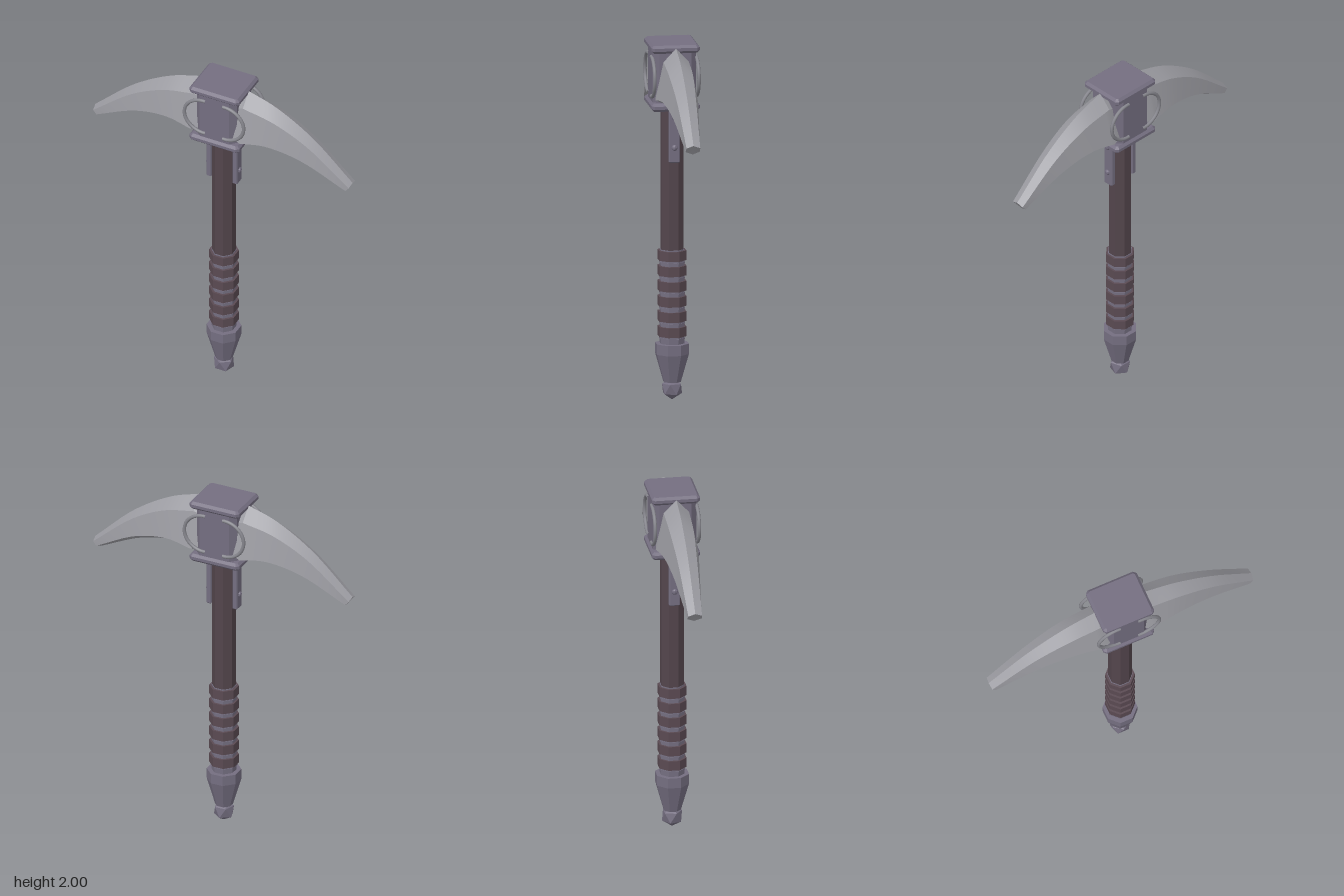
import * as THREE from 'three';
import { toCreasedNormals } from 'three/addons/utils/BufferGeometryUtils.js';

const mat = (name, color, extra = {}) => {
  const m = new THREE.MeshStandardMaterial({ color, ...extra });
  m.name = name;
  return m;
};

export function createModel() {
  const group = new THREE.Group();
  const iron = mat('violet iron', 0x746e80, { flatShading: true });
  const steel = mat('blade steel', 0x9c9ca2);
  const wood = mat('dark wood', 0x53454c, { flatShading: true });
  const leather = mat('grip leather', 0x5a4a52, { flatShading: true });
  const wire = mat('ring wire', 0x85858c);

  const add = (name, geo, material, x = 0, y = 0, z = 0) => {
    const mesh = new THREE.Mesh(geo, material);
    mesh.name = name;
    mesh.position.set(x, y, z);
    group.add(mesh);
    return mesh;
  };

  // Octagonal tapered bar with flats facing the axes, sized by half width
  const octagon = (name, material, top, bottom, y0, y1) => {
    const k = Math.cos(Math.PI / 8);
    const geo = new THREE.CylinderGeometry(top / k, bottom / k, y1 - y0, 8).rotateY(Math.PI / 8);
    return add(name, geo, material, 0, (y0 + y1) / 2);
  };

  // Upright block with cut corners and bevelled rims
  const block = (name, hx, hz, y0, y1, cut, bevel, material = iron, x = 0) => {
    const a = hx - bevel, b = hz - bevel, c = cut;
    const shape = new THREE.Shape([
      [a, -b + c], [a, b - c], [a - c, b], [-a + c, b],
      [-a, b - c], [-a, -b + c], [-a + c, -b], [a - c, -b],
    ].map(([px, py]) => new THREE.Vector2(px, py)));
    const geo = new THREE.ExtrudeGeometry(shape, {
      depth: y1 - y0 - 2 * bevel, bevelEnabled: true,
      bevelThickness: bevel, bevelSize: bevel, bevelSegments: 1,
    }).rotateX(-Math.PI / 2);
    return add(name, geo, material, x, y0 + bevel, 0);
  };

  // Handle and wrapped grip
  octagon('handle', wood, 0.061, 0.061, 0.3, 1.65);
  octagon('gripSleeve', iron, 0.064, 0.064, 0.31, 0.84);
  for (let i = 0; i < 6; i++) {
    const y = 0.383 + i * 0.0848;
    octagon('gripBand', leather, 0.075, 0.075, y - 0.027, y + 0.027);
    octagon('gripRidge', iron, 0.067, 0.067, y - 0.043, y - 0.036);
  }

  // Pommel with a faceted end knob
  octagon('pommelCollar', iron, 0.088, 0.088, 0.257, 0.315);
  octagon('pommelTaper', iron, 0.088, 0.046, 0.1, 0.257);
  const knob = new THREE.IcosahedronGeometry(0.062, 0);
  knob.rotateX(-Math.atan((1 + Math.sqrt(5)) / 2));
  add('pommelKnob', knob, iron, 0, 0.062, 0);

  // Head block between two plates
  block('headBlock', 0.122, 0.12, 1.66, 1.97, 0.025, 0.012);
  block('topPlate', 0.152, 0.133, 1.955, 2.0, 0.008, 0.014);
  block('bottomPlate', 0.152, 0.133, 1.632, 1.677, 0.008, 0.014);

  // Side straps with rivets
  for (const s of [-1, 1]) {
    block('sideStrap', 0.016, 0.031, 1.335, 1.64, 0.003, 0.006, iron, s * 0.079);
    for (const y of [1.42, 1.59]) {
      const rivet = new THREE.SphereGeometry(0.017, 8, 6).scale(0.8, 1, 1);
      add('rivet', rivet, iron, s * 0.094, y, 0);
    }
  }

  // Half-ring loops on the front and back of the head
  for (const sz of [-1, 1]) {
    for (const sx of [-1, 1]) {
      const pts = [];
      for (let i = 0; i <= 20; i++) {
        const a = -1.65 + (3.3 * i) / 20;
        pts.push(new THREE.Vector3(
          sx * (0.062 + 0.119 * Math.cos(a)), 1.815 + 0.11 * Math.sin(a), sz * 0.122));
      }
      const path = new THREE.CatmullRomCurve3(pts);
      add('headLoop', new THREE.TubeGeometry(path, 32, 0.01, 8), wire);
    }
  }

  // Curved blades: a six-sided section swept between four edge curves
  const edge = (...p) => new THREE.CatmullRomCurve3(p.map(([x, y, z]) => new THREE.Vector3(x, y, z)));
  const ridge = edge([0.15, 1.985, 0], [0.32, 1.928, 0], [0.54, 1.795, 0], [0.785, 1.57, 0]);
  const upper = edge([0.15, 1.91, 0.07], [0.33, 1.87, 0.066], [0.53, 1.765, 0.053], [0.78, 1.556, 0.038]);
  const lower = edge([0.15, 1.7, 0.115], [0.3, 1.718, 0.098], [0.5, 1.672, 0.072], [0.76, 1.533, 0.04]);
  const belly = edge([0.15, 1.652, 0], [0.29, 1.664, 0], [0.5, 1.628, 0], [0.75, 1.516, 0]);
  const flip = (p) => new THREE.Vector3(p.x, p.y, -p.z);
  const rings = [];
  const steps = 18;
  for (let i = 0; i <= steps; i++) {
    const [r, u, l, b] = [ridge, upper, lower, belly].map((c) => c.getPoint(i / steps));
    rings.push([r, u, l, b, flip(l), flip(u)]);
  }
  // Root shoulder sinking into the head block
  rings.unshift(rings[0].map((p) =>
    new THREE.Vector3(p.x - 0.05, 1.81 + (p.y - 1.81) * 0.85, p.z * 0.9)));

  const verts = [];
  const tri = (...ps) => ps.forEach((p) => verts.push(p.x, p.y, p.z));
  for (let i = 0; i < rings.length - 1; i++) {
    for (let j = 0; j < 6; j++) {
      const k = (j + 1) % 6;
      const a = rings[i][j], b = rings[i + 1][j], c = rings[i + 1][k], d = rings[i][k];
      tri(a, d, c);
      tri(a, c, b);
    }
  }
  const tip = rings[rings.length - 1], root = rings[0];
  for (let j = 1; j < 5; j++) {
    tri(tip[0], tip[j], tip[j + 1]);
    tri(root[0], root[j + 1], root[j]);
  }
  const raw = new THREE.BufferGeometry();
  raw.setAttribute('position', new THREE.Float32BufferAttribute(verts, 3));
  const bladeGeo = toCreasedNormals(raw, 0.3);
  add('leftBlade', bladeGeo, steel);
  add('rightBlade', bladeGeo, steel).rotation.y = Math.PI;

  return group;
}
